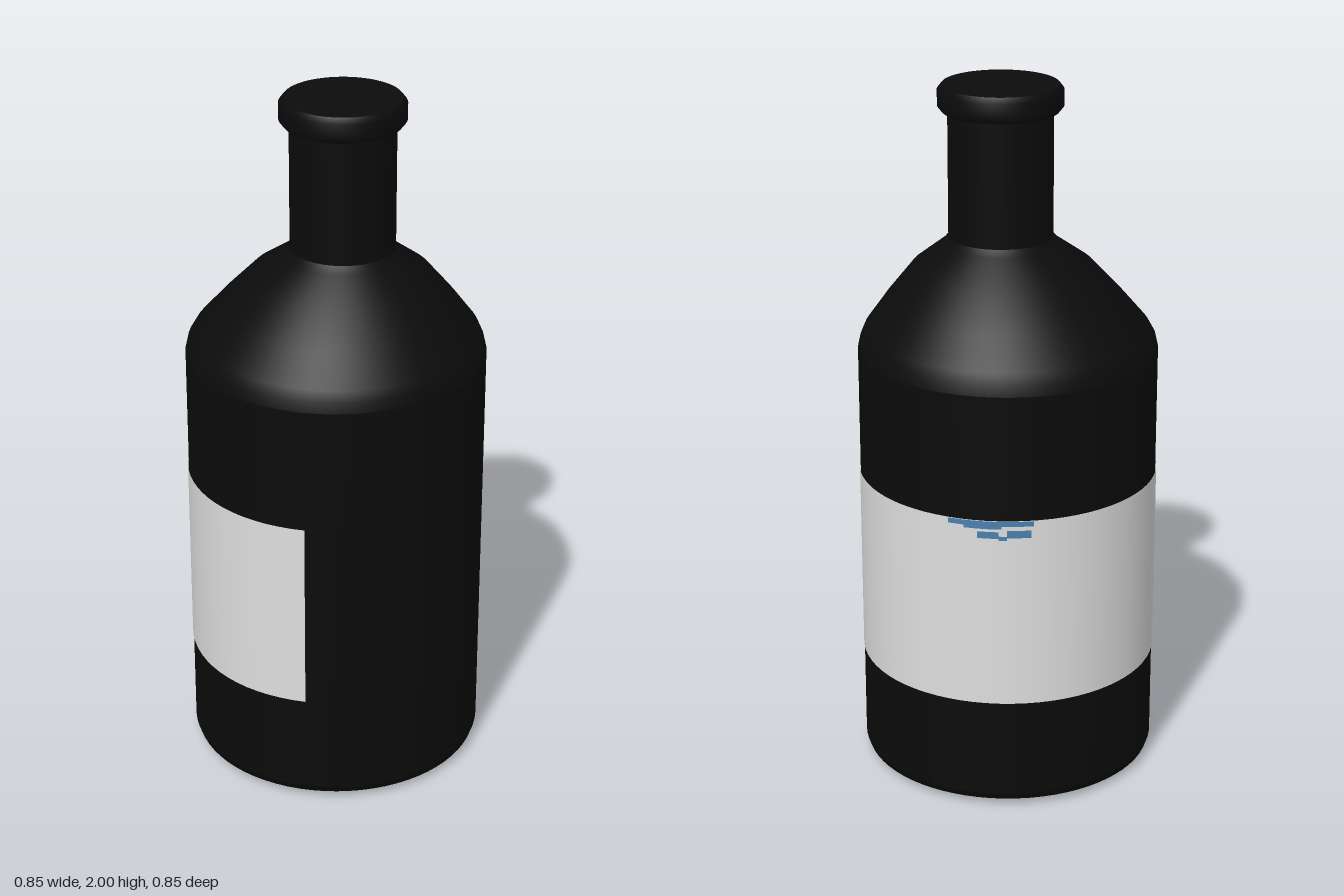
import * as THREE from 'three';

const mat = (name, color, side = THREE.FrontSide) => {
  const m = new THREE.MeshStandardMaterial({ color, side });
  m.name = name;
  return m;
};
const rad = THREE.MathUtils.degToRad;

export function createModel() {
  const group = new THREE.Group();
  group.name = 'bottle';
  const black = mat('black glass', 0x0b0b0b);
  const paper = mat('label paper', 0xdedede, THREE.DoubleSide);
  const blue = mat('blue print', 0x4a80ae, THREE.DoubleSide);

  const add = (name, geometry, material) => {
    const mesh = new THREE.Mesh(geometry, material);
    mesh.name = name;
    group.add(mesh);
  };

  // Turned part whose axis drifts sideways above the shoulder
  const turned = (points) => {
    const g = new THREE.LatheGeometry(points.map(([r, y]) => new THREE.Vector2(r, y)), 72);
    const p = g.attributes.position;
    for (let i = 0; i < p.count; i++) {
      const lean = THREE.MathUtils.clamp((p.getY(i) - 1.28) / 0.28, 0, 1);
      p.setX(i, p.getX(i) + 0.028 * lean);
      p.setZ(i, p.getZ(i) + 0.004 * lean);
    }
    return g;
  };

  add('base', turned([[0, 0], [0.3, 0.002], [0.4, 0.01], [0.418, 0.02], [0.425, 0.04]]), black);
  add('body', turned([[0.425, 0.04], [0.425, 0.4], [0.425, 0.9], [0.425, 1.25]]), black);
  add('shoulder', turned([[0.425, 1.25], [0.418, 1.28], [0.403, 1.31], [0.335, 1.395],
    [0.255, 1.485], [0.165, 1.55], [0.147, 1.57]]), black);
  add('neck', turned([[0.147, 1.565], [0.147, 1.75], [0.147, 1.935]]), black);
  add('lip', turned([[0.145, 1.925], [0.163, 1.927], [0.175, 1.942], [0.175, 1.985], [0.163, 2]]), black);
  add('stopperTop', turned([[0.163, 2], [0, 2]]), black);

  // Curved plate lying on the body wall, between two angles and two heights
  const plate = (name, radius, from, to, low, high, material) => {
    const g = new THREE.CylinderGeometry(radius, radius, high - low,
      Math.max(3, Math.ceil((to - from) / 5)), 1, true, rad(from), rad(to - from));
    g.translate(0, (low + high) / 2, 0);
    add(name, g, material);
  };

  // Wrap-around label, open on one side
  plate('label', 0.4275, -227, 28, 0.33, 0.89, paper);

  // Small ragged print at the label's upper edge
  [[-166, -134, 0.874, 0.889], [-160, -146, 0.866, 0.874], [-155, -147, 0.838, 0.858],
    [-144, -135, 0.84, 0.862], [-147, -144, 0.832, 0.845]].forEach(([from, to, low, high], i) =>
    plate(`labelPrint${i + 1}`, 0.4295, from, to, low, high, blue));

  return group;
}
